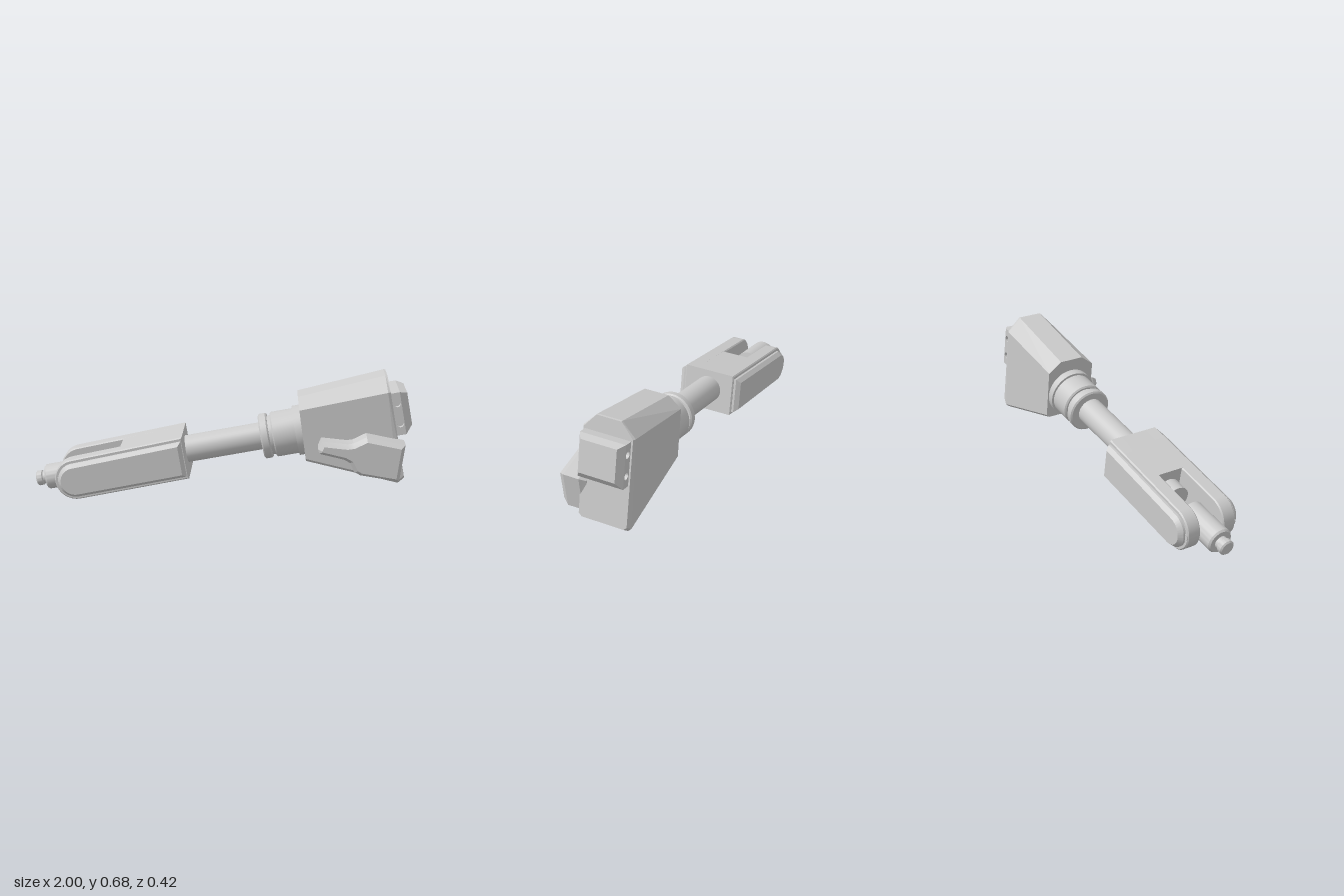
import * as THREE from 'three';
import { toCreasedNormals } from 'three/addons/utils/BufferGeometryUtils.js';

const material = new THREE.MeshStandardMaterial({ color: 0xcccccc });

function add(parent, name, geometry, crease = 0.6) {
  const mesh = new THREE.Mesh(toCreasedNormals(geometry, crease), material);
  mesh.name = name;
  parent.add(mesh);
  return mesh;
}

// Turned part along +x from [radius, x] pairs
function turned(points, v = 0) {
  const profile = points.map(([r, x]) => new THREE.Vector2(r, x));
  return new THREE.LatheGeometry(profile, 40).rotateZ(-Math.PI / 2).translate(0, v, 0);
}

// Shape extruded from z0 to z1, with the bevel kept inside the outline
function slab(shape, z0, z1, size = 0, thickness = size) {
  return new THREE.ExtrudeGeometry(shape, {
    depth: z1 - z0 - 2 * thickness, curveSegments: 20,
    bevelEnabled: size > 0, bevelSize: size, bevelOffset: -size,
    bevelThickness: thickness, bevelSegments: 1,
  }).translate(0, 0, z0 + thickness);
}

const polygon = (pts) => new THREE.Shape(pts.map(([x, y]) => new THREE.Vector2(x, y)));

// Closed solid through cross-sections of equal point count, running along +x
function loft(rings) {
  const pos = [];
  const tri = (...p) => p.forEach((q) => pos.push(...q));
  const n = rings[0].length;
  for (let k = 0; k < rings.length - 1; k++) {
    for (let i = 0; i < n; i++) {
      const j = (i + 1) % n, a = rings[k], b = rings[k + 1];
      tri(a[i], a[j], b[j]);
      tri(a[i], b[j], b[i]);
    }
  }
  const first = rings[0], last = rings[rings.length - 1];
  for (let i = 1; i < n - 1; i++) {
    tri(first[0], first[i + 1], first[i]);
    tri(last[0], last[i], last[i + 1]);
  }
  const g = new THREE.BufferGeometry();
  g.setAttribute('position', new THREE.Float32BufferAttribute(pos, 3));
  g.computeVertexNormals();
  return g;
}

// Housing section: chamfered top corners, eased bottom corners
function housingRing([ut, vt], [ub, vb], w, c) {
  const e = 0.016;
  const half = [[vt, 0.066], [vt - c, w], [vb + e, w], [vb, w - e]];
  const at = (v, z) => [ub + (ut - ub) * (v - vb) / (vt - vb), v, z];
  return [...half.map(([v, z]) => at(v, z)), ...half.reverse().map(([v, z]) => at(v, -z))];
}

const rectRing = (u, v0, v1, w) => [[u, v1, -w], [u, v1, w], [u, v0, w], [u, v0, -w]];

// Long profile with a round left end
function roundEnded(cu, cv, r, uEnd, top, bottom) {
  const s = new THREE.Shape();
  s.moveTo(uEnd - 0.006, bottom);
  s.lineTo(uEnd, top);
  s.lineTo(cu, cv + r);
  s.absarc(cu, cv, r, Math.PI / 2, Math.PI * 1.5, false);
  s.closePath();
  return s;
}

export function createModel() {
  const model = new THREE.Group();
  model.name = 'jointedArm';

  // Everything but the side pod lies along one tilted axis
  const arm = new THREE.Group();
  arm.name = 'arm';
  arm.position.set(0, 0.287, -0.0315);
  arm.rotation.z = THREE.MathUtils.degToRad(11.2);
  model.add(arm);

  // Forked block: two prongs, a solid core behind the slot, raised cheek plates
  const prong = roundEnded(-0.78, -0.02, 0.11, -0.18, 0.107, -0.122);
  const cheek = roundEnded(-0.78, -0.02, 0.091, -0.19, 0.088, -0.104);
  for (const side of [1, -1]) {
    const name = side > 0 ? 'left' : 'right';
    const span = (a, b) => (side > 0 ? [a, b] : [-b, -a]);
    add(arm, name + 'Prong', slab(prong, ...span(0.068, 0.143), 0.006));
    add(arm, name + 'CheekPlate', slab(cheek, ...span(0.11, 0.177), 0.018, 0.022));
    add(arm, name + 'Pin', new THREE.CylinderGeometry(0.02, 0.02, 0.02, 20)
      .rotateX(Math.PI / 2).translate(-0.865, -0.01, side * 0.136));
  }
  add(arm, 'forkCore', slab(polygon([
    [-0.52, 0.097], [-0.52, -0.126], [-0.186, -0.122], [-0.18, 0.107],
  ]), -0.075, 0.075));

  // Rod held in the fork, and the boss facing it
  add(arm, 'rodEnd', turned([
    [0, -1.017], [0.033, -1.017], [0.04, -1.01], [0.04, -0.985], [0.034, -0.98],
    [0.034, -0.962], [0.06, -0.962], [0.067, -0.952], [0.067, -0.72], [0, -0.72],
  ], -0.02));
  add(arm, 'slotBoss', turned([[0, -0.6], [0.067, -0.6], [0.067, -0.5], [0, -0.5]], -0.02));

  // Shaft and stepped collar
  add(arm, 'shaft', turned([[0, -0.22], [0.072, -0.22], [0.072, 0.26], [0, 0.26]]));
  add(arm, 'collar', turned([
    [0, 0.221], [0.112, 0.221], [0.12, 0.228], [0.12, 0.26], [0.113, 0.267], [0.104, 0.267],
    [0.104, 0.284], [0.113, 0.284], [0.12, 0.291], [0.12, 0.405], [0.132, 0.405],
    [0.132, 0.47], [0, 0.47],
  ], -0.004));

  // Flared housing
  add(arm, 'housing', loft([
    housingRing([0.45, 0.193], [0.433, -0.141], 0.138, 0.055),
    housingRing([0.912, 0.224], [0.883, -0.345], 0.138, 0.075),
    housingRing([0.922, 0.222], [0.92, -0.325], 0.131, 0.075),
  ]), 0.15);

  // End block with recessed side holes and a bevelled cap
  const v0 = -0.09, v1 = 0.138, w = 0.122;
  const blockShape = polygon([[0.89, v0], [0.968, v0], [0.968, v1], [0.89, v1]]);
  const holes = [[0.946, 0.079], [0.946, -0.03]];
  for (const [u, v] of holes) {
    const hole = new THREE.Path();
    hole.absarc(u, v, 0.018, 0, Math.PI * 2, true);
    blockShape.holes.push(hole);
    add(arm, 'holeFloor', new THREE.CylinderGeometry(0.019, 0.019, 0.2, 20)
      .rotateX(Math.PI / 2).translate(u, v, 0));
  }
  add(arm, 'endBlock', slab(blockShape, -w, w));
  add(arm, 'endBlockCap', loft([
    rectRing(0.968, v0, v1, w), rectRing(1.006, -0.05, 0.122, 0.096),
  ]), 0.15);

  // Bevelled pod on the front side of the housing
  add(model, 'sidePod', slab(polygon([
    [0.511, 0.325], [0.516, 0.302], [0.645, 0.272], [0.675, 0.255], [0.7, 0.205],
    [0.73, 0.189], [0.93, 0.157], [0.955, 0.356], [0.757, 0.395], [0.69, 0.36],
    [0.66, 0.355], [0.527, 0.368],
  ]), 0.065, 0.21, 0.02, 0.03), 0.3);

  return model;
}
